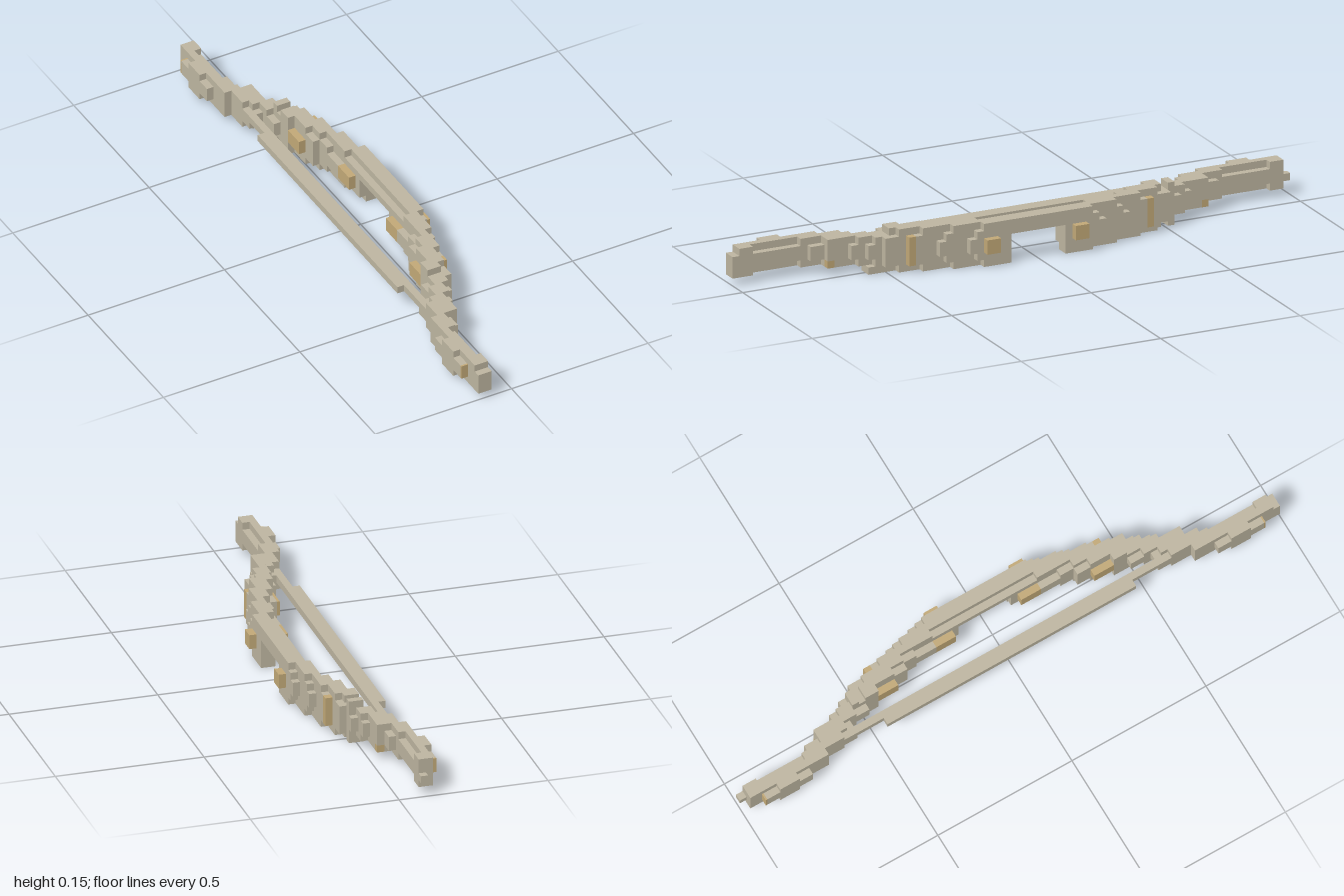
import * as THREE from 'three';

const V = 2 / 82; // edge of one cube; all sizes below are in cubes

export function createModel() {
  const bone = new THREE.MeshStandardMaterial({ color: 0xbdb5a0 });
  bone.name = 'bone';
  const gold = new THREE.MeshStandardMaterial({ color: 0xc1a877 });
  gold.name = 'gold';

  const bow = new THREE.Group();
  bow.name = 'bow';

  function block(parent, name, mat, x0, x1, y0, y1, z0, z1) {
    const geo = new THREE.BoxGeometry((x1 - x0) * V, (y1 - y0) * V, (z1 - z0) * V);
    const mesh = new THREE.Mesh(geo, mat);
    mesh.name = name;
    mesh.position.set((x0 + x1) / 2 * V, (y0 + y1) / 2 * V, (z0 + z1) / 2 * V);
    parent.add(mesh);
  }

  // one-cube-thick limb layers: x -> runs of [z start, z end, y bottom, y top, gold]
  const layers = {
    '-6': [[31, 33, 2, 4], [33, 36, 1, 5], [36, 38, 2, 4]],
    '-5': [[28, 40, 1, 5]],
    '-4': [[23, 25, 2, 4], [25, 31, 1, 5], [31, 38, 2, 4], [38, 40, 1, 5]],
    '-3': [[23, 24, 2, 4], [24, 28, 1, 5], [28, 30, 2, 4]],
    '-2': [[20, 22, 2, 4], [22, 27, 1, 5], [27, 28, 2, 5], [27, 28, 1, 2, 1]],
    '-1': [[15, 18, 2, 4, 1], [18, 20, 0, 6], [20, 24, 1, 5], [24, 25, 2, 4]],
    '0': [[13, 15, 1, 5], [15, 20, 0, 6], [20, 22, 1, 5], [22, 23, 2, 4]],
    '1': [[5, 8, 2, 4, 1], [8, 11, 2, 4], [11, 13, 1, 5], [13, 19, 0, 6], [19, 21, 1, 5]],
    '2': [[4, 8, 1, 5], [8, 16, 0, 6], [16, 17, 1, 5], [17, 18, 1, 5, 1]],
    '3': [[4, 12, 0, 6], [12, 13, 1, 5], [13, 14, 2, 4]],
    '4': [[4, 8, 0, 6], [8, 9, 1, 5], [9, 10, 2, 4]],
  };

  // the two limbs mirror each other across the grip
  for (const side of [1, -1]) {
    const limb = new THREE.Group();
    limb.name = side > 0 ? 'frontLimb' : 'backLimb';
    for (const [key, runs] of Object.entries(layers)) {
      const x = Number(key);
      for (const [a, b, y0, y1, isGold] of runs) {
        const [z0, z1] = side > 0 ? [a, b] : [-b, -a];
        block(limb, isGold ? 'goldInlay' : 'limbLayer', isGold ? gold : bone, x, x + 1, y0, y1, z0, z1);
      }
    }
    // gold plate on the nock's end
    const end = side * 38.1;
    block(limb, 'nockPlate', gold, -6, -5, 2, 4, end - 0.12, end + 0.12);
    bow.add(limb);
  }

  // grip bridging the limbs, open underneath
  block(bow, 'grip', bone, 2, 3, 4, 5, -4, 4);
  block(bow, 'grip', bone, 3, 5, 4, 6, -4, 4);

  // gold studs on the outer face
  block(bow, 'gripStud', gold, 5, 6, 2, 4, 6, 8);
  block(bow, 'gripStud', gold, 5, 6, 2, 4, -7, -5);

  // uneven details: lower edge of one limb, raised ring on the other, tips
  block(bow, 'limbUnderside', bone, -1, 1, 0, 1, 20, 23);
  block(bow, 'limbRing', bone, -1, 1, 0, 6, -22, -21);
  block(bow, 'frontTip', bone, -5, -3, 1, 4, 40, 41);
  block(bow, 'backTip', bone, -4, -3, 2, 3, -41, -40);

  // string, thicker in the middle
  block(bow, 'string', bone, -4, -3, 3, 4, -25, 25);
  block(bow, 'stringServing', bone, -5, -4, 3, 4, -19, 19);
  return bow;
}
